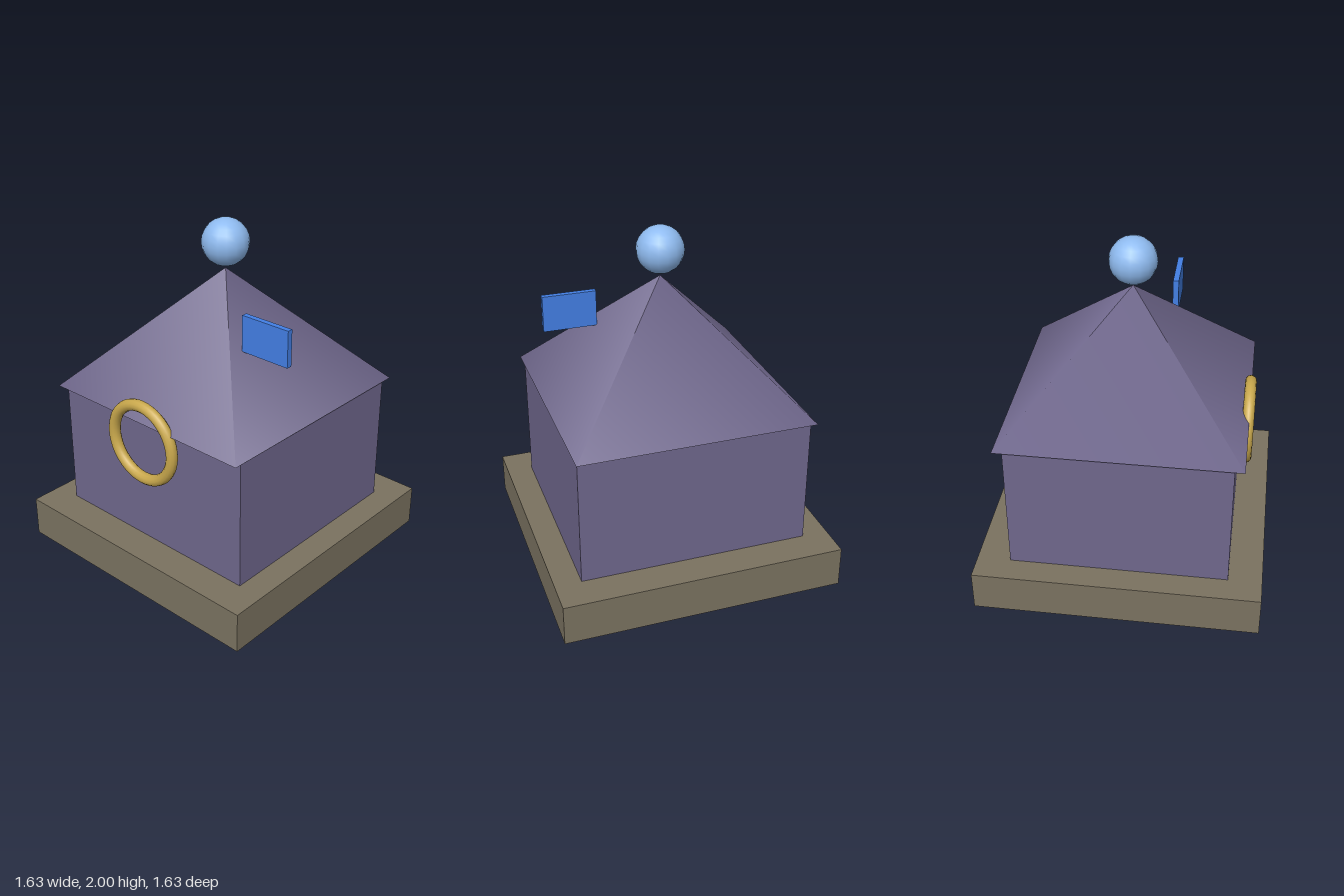
import * as THREE from 'three';

export function createModel() {
  const model = new THREE.Group();
  const add = (name, geometry, color, x, y, z) => {
    const mesh = new THREE.Mesh(geometry, new THREE.MeshStandardMaterial({ color }));
    mesh.name = name;
    mesh.position.set(x, y, z);
    model.add(mesh);
    return mesh;
  };
  const purple = 0x6f678c;

  // Plinth and walls
  add('base', new THREE.BoxGeometry(1.635, 0.24, 1.635), 0x7a7260, 0, 0.12, 0);
  add('walls', new THREE.BoxGeometry(1.33, 0.77, 1.25), purple, 0, 0.625, 0);

  // Four-sided roof, turned so its eaves run along the walls
  const roof = new THREE.ConeGeometry(0.68 * Math.SQRT2, 0.705, 4);
  roof.rotateY(Math.PI / 4);
  add('roof', roof, purple, 0, 1.3625, 0);

  // Ball floating just above the peak
  add('finialBall', new THREE.SphereGeometry(0.135, 16, 12), 0x8fbbf0, 0, 1.865, 0);

  // Ring in front of the wall
  add('frontRing', new THREE.TorusGeometry(0.222, 0.033, 12, 48), 0xc9a84c, 0, 0.89, 0.673);

  // Flag panel beside the roof
  add('flag', new THREE.BoxGeometry(0.31, 0.21, 0.033), 0x437fe4, 0.472, 1.485, 0.205);

  return model;
}
